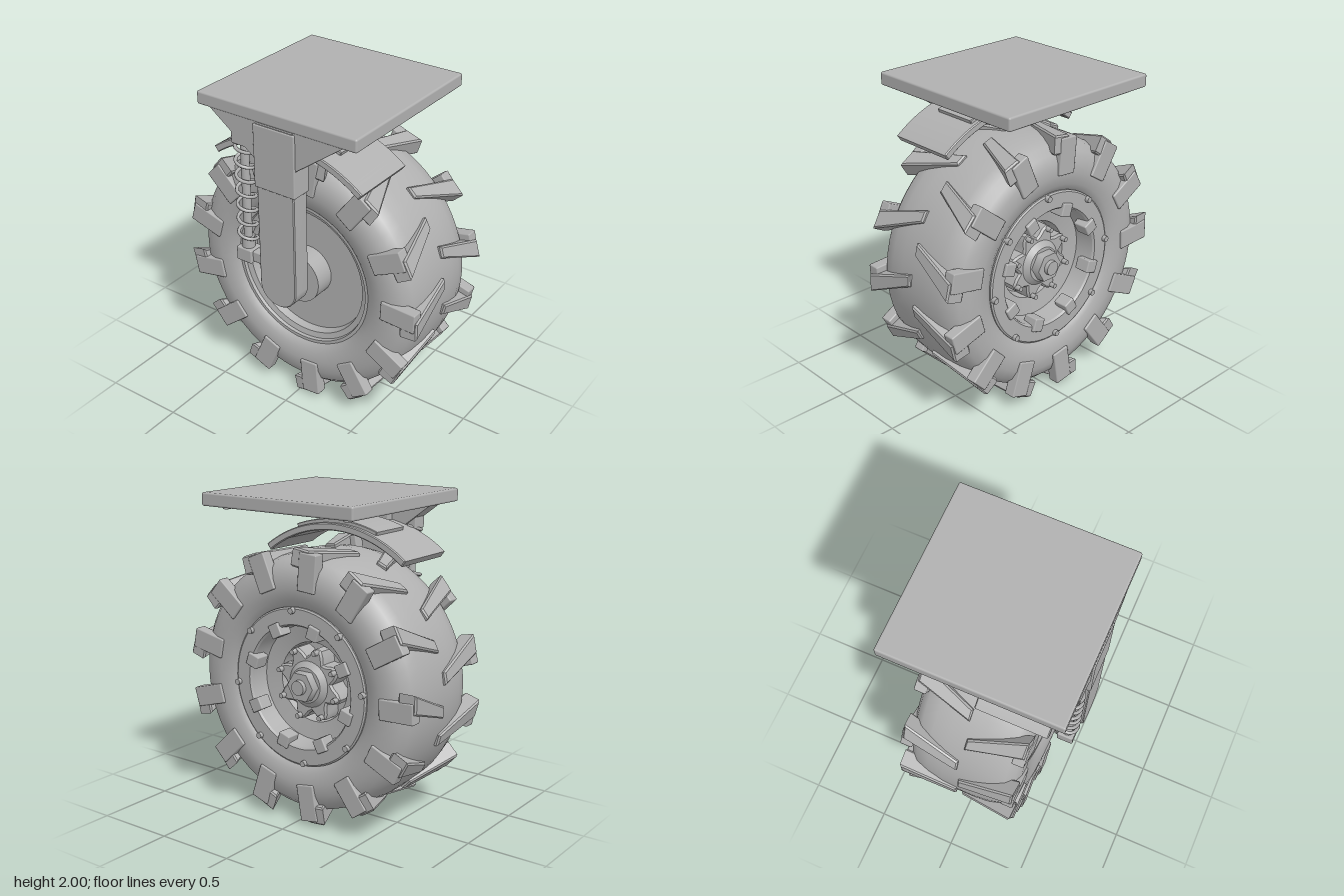
import * as THREE from 'three';
import { toCreasedNormals } from 'three/addons/utils/BufferGeometryUtils.js';
import { RoundedBoxGeometry } from 'three/addons/geometries/RoundedBoxGeometry.js';

const V2 = (x, y) => new THREE.Vector2(x, y);
const AXLE_Y = 0.855;

export function createModel() {
  const model = new THREE.Group();
  const grey = new THREE.MeshStandardMaterial({ color: 0xb0b0b0 });

  const add = (parent, name, geo, x = 0, y = 0, z = 0) => {
    const mesh = new THREE.Mesh(geo, grey);
    mesh.name = name;
    mesh.position.set(x, y, z);
    parent.add(mesh);
    return mesh;
  };
  // Box given by its extents
  const box = (parent, name, x0, x1, y0, y1, z0, z1, r = 0.008) =>
    add(parent, name, new RoundedBoxGeometry(x1 - x0, y1 - y0, z1 - z0, 2, r),
      (x0 + x1) / 2, (y0 + y1) / 2, (z0 + z1) / 2);
  // Cylinder along x between x0 and x1
  const axial = (parent, name, r0, r1, x0, x1, sides, y = 0, z = 0) =>
    add(parent, name, new THREE.CylinderGeometry(r1, r0, x1 - x0, sides).rotateZ(-Math.PI / 2),
      (x0 + x1) / 2, y, z);
  // Profile of [radius, x] turned around the x axis
  const turned = (parent, name, pts, crease) => add(parent, name,
    toCreasedNormals(new THREE.LatheGeometry(pts.map(p => V2(...p)), 64).rotateZ(-Math.PI / 2), crease));
  // Outline in (z, y), extruded between x0 and x1
  const slab = (parent, name, shape, x0, x1, bevel = 0.006) => add(parent, name,
    toCreasedNormals(new THREE.ExtrudeGeometry(shape, {
      depth: x1 - x0 - 2 * bevel, bevelThickness: bevel, bevelSize: bevel, bevelOffset: -bevel,
      bevelSegments: 1, curveSegments: 24,
    }).rotateY(-Math.PI / 2), 0.6), x1 - bevel, 0, 0);
  // Group turned so that its +z points outward at the given angle above the front
  const spoke = (parent, name, degrees) => {
    const g = new THREE.Group();
    g.name = name;
    g.rotation.x = -THREE.MathUtils.degToRad(degrees);
    parent.add(g);
    return g;
  };

  // Top plate with fixing bolts
  box(model, 'topPlate', -0.545, 0.545, 1.92, 2, -0.545, 0.545, 0.012);
  for (const x of [-0.44, 0.44]) for (const z of [-0.44, 0.44])
    add(model, 'plateBolt', new THREE.CylinderGeometry(0.025, 0.025, 0.03, 12), x, 1.915, z);

  // Leg with rounded foot, gusset and upper sleeve
  const leg = new THREE.Shape();
  leg.moveTo(0.13, 1.92).lineTo(-0.13, 1.92).lineTo(-0.13, 0.88);
  leg.absarc(0, 0.88, 0.13, Math.PI, Math.PI * 2, false);
  leg.lineTo(0.13, 1.92);
  slab(model, 'leg', leg, -0.545, -0.42);
  slab(model, 'gusset', new THREE.Shape([V2(0.46, 1.925), V2(-0.46, 1.925), V2(-0.13, 1.68), V2(0.13, 1.68)]),
    -0.54, -0.43, 0.003);
  box(model, 'legSleeve', -0.552, -0.415, 1.52, 1.91, -0.142, 0.142);
  box(model, 'fenderMount', -0.43, -0.388, 1.7, 1.91, -0.14, 0.14);

  // Curved fender with a raised pad
  const arc = (r0, r1, halfWidth) => {
    const a = Math.asin(halfWidth / r1), s = new THREE.Shape();
    s.absarc(0, 0.94, r1, Math.PI / 2 - a, Math.PI / 2 + a, false);
    s.absarc(0, 0.94, r0, Math.PI / 2 + a, Math.PI / 2 - a, true);
    return s;
  };
  slab(model, 'fender', arc(0.815, 0.86, 0.52), -0.45, -0.01);
  slab(model, 'fenderPad', arc(0.85, 0.882, 0.3), -0.33, -0.04, 0.004);

  // Coil spring damper beside the leg
  const sx = -0.49, sz = -0.255;
  box(model, 'springTopMount', -0.54, -0.44, 1.74, 1.84, -0.31, -0.2);
  box(model, 'springBottomMount', -0.54, -0.44, 0.97, 1.06, -0.31, -0.2);
  box(model, 'springLink', -0.52, -0.46, 0.98, 1.05, -0.22, -0.1);
  add(model, 'damperRod', new THREE.CylinderGeometry(0.026, 0.026, 0.72, 16), sx, 1.4, sz);
  add(model, 'damperCollar', new THREE.CylinderGeometry(0.04, 0.04, 0.08, 16), sx, 1.09, sz);
  const coil = [];
  for (let i = 0; i <= 84; i++) {
    const a = i / 12 * Math.PI * 2;
    coil.push(new THREE.Vector3(sx + 0.055 * Math.cos(a), 1.1 + 0.66 * i / 84, sz + 0.055 * Math.sin(a)));
  }
  add(model, 'spring', new THREE.TubeGeometry(new THREE.CatmullRomCurve3(coil), 168, 0.011, 6));

  // Wheel
  const wheel = new THREE.Group();
  wheel.name = 'wheel';
  wheel.position.y = AXLE_Y;
  model.add(wheel);

  const half = [[0.8, 0.1], [0.79, 0.2], [0.77, 0.28], [0.73, 0.325], [0.67, 0.35],
    [0.6, 0.355], [0.53, 0.34], [0.48, 0.31], [0.46, 0.26]];
  turned(wheel, 'tyre', [...half.map(([r, x]) => [r, -x]).reverse(), ...half], 1);
  turned(wheel, 'rim', [[0, -0.23], [0.41, -0.23], [0.42, -0.28], [0.455, -0.29], [0.46, -0.31], [0.49, -0.31],
    [0.49, 0.325], [0.48, 0.332], [0.385, 0.332], [0.375, 0.32], [0.36, 0.2], [0.25, 0.18],
    [0.235, 0.11], [0, 0.11]], 0.5);

  // Chevron lugs, each with a block folded over the sidewall
  const lugs = (side, phase) => {
    const pts = [V2(0.015, 0.025), V2(0.365, -0.13), V2(0.365, -0.015), V2(0.015, 0.1)];
    const shape = new THREE.Shape(pts.map(p => V2(p.x * side, p.y)));
    const lugGeo = toCreasedNormals(new THREE.ExtrudeGeometry(shape, {
      depth: 0.095, bevelThickness: 0.01, bevelSize: 0.01, bevelOffset: -0.01, bevelSegments: 1,
    }), 0.4);
    const blockGeo = new RoundedBoxGeometry(0.075, 0.125, 0.23, 1, 0.008);
    for (let i = 0; i < 13; i++) {
      const g = spoke(wheel, 'treadLug', phase + i * 360 / 13);
      add(g, 'lugBar', lugGeo, 0, 0, 0.713).rotation.y = -0.07 * side;
      add(g, 'lugSidewallBlock', blockGeo, 0.331 * side, -0.01, 0.715).rotation.x = 0.06;
    }
  };
  lugs(1, 15);
  lugs(-1, 1);

  // Rim bolts, clamp tabs and hub bolts
  for (let i = 0; i < 8; i++) {
    const a = i * 45;
    axial(spoke(wheel, 'rimBoltSpoke', a + 85), 'rimBolt', 0.021, 0.019, 0.32, 0.355, 8, 0, 0.47);
    box(spoke(wheel, 'clampTabSpoke', a + 63), 'clampTab', 0.25, 0.35, -0.04, 0.04, 0.325, 0.41);
    axial(spoke(wheel, 'hubBoltSpoke', a + 17), 'hubBolt', 0.018, 0.016, 0.2, 0.27, 8, 0, 0.215);
  }

  // Star shaped hub and centre nut
  const star = [];
  for (let i = 0; i < 48; i++) {
    const a = i / 48 * Math.PI * 2, wave = Math.abs(Math.cos(4 * (a - 17 * Math.PI / 180)));
    const r = 0.165 + 0.075 * wave ** 1.5;
    star.push(V2(r * Math.cos(a), r * Math.sin(a)));
  }
  slab(wheel, 'hubStar', new THREE.Shape(star), 0.1, 0.235, 0.012);
  axial(wheel, 'hubDome', 0.15, 0.11, 0.23, 0.265, 32);
  axial(wheel, 'hubNut', 0.1, 0.095, 0.25, 0.32, 6);
  axial(wheel, 'axleTip', 0.048, 0.045, 0.31, 0.345, 20);

  // Inner hub and axle joining the leg
  axial(wheel, 'innerHub', 0.16, 0.16, -0.36, -0.22, 32);
  axial(wheel, 'axle', 0.075, 0.075, -0.44, -0.35, 8);
  return model;
}
